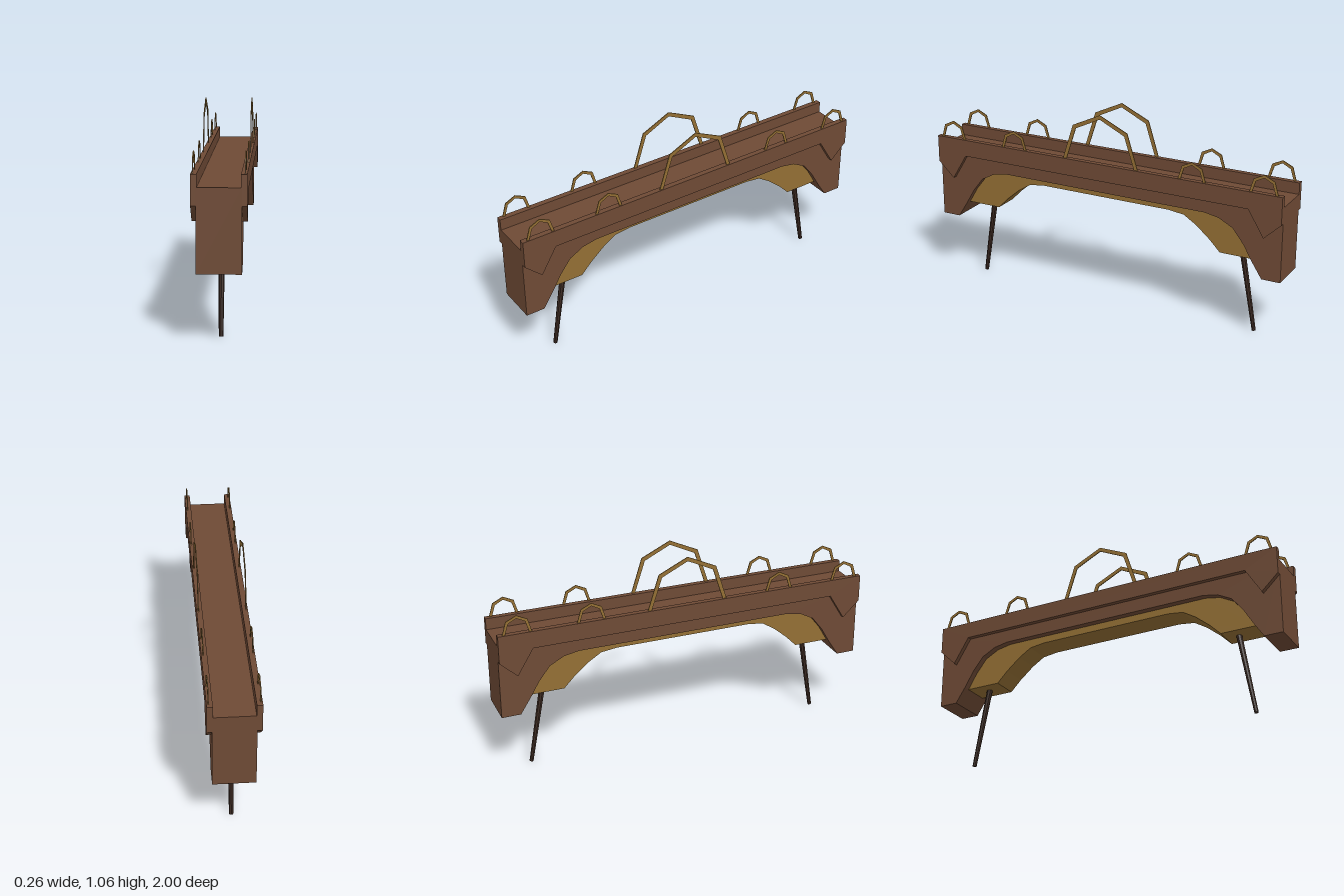
import * as THREE from 'three';

const material = (name, color) => new THREE.MeshStandardMaterial({ name, color, flatShading: true });

// Completes a half profile of [z, y] points by mirroring it across z = 0
const mirrored = (half) => [...half, ...half.map(([z, y]) => [-z, y]).reverse()];

// Extrudes a [z, y] side profile across the bridge, centred on the given x
function slab(name, points, width, x, mat) {
  const shape = new THREE.Shape(points.map(([z, y]) => new THREE.Vector2(z, y)));
  const geometry = new THREE.ExtrudeGeometry(shape, { depth: width, bevelEnabled: false });
  geometry.translate(0, 0, -width / 2);
  geometry.rotateY(-Math.PI / 2);
  const mesh = new THREE.Mesh(geometry, mat);
  mesh.name = name;
  mesh.position.x = x;
  return mesh;
}

export function createModel() {
  const wood = material('brownWood', 0x6e4a35);
  const gold = material('goldenWood', 0x936f34);
  const dark = material('darkWood', 0x3c2a22);
  const model = new THREE.Group();
  model.name = 'archedBridge';

  // Underside curve shared by the deck body and the golden arch
  const arch = [[0.847, 0.428], [0.797, 0.513], [0.738, 0.588], [0.663, 0.628], [0.583, 0.643]];

  // Deck body with end piers
  model.add(slab('deckBody', mirrored([[1, 0.745], [1, 0.346], [0.9, 0.346], ...arch]), 0.21, 0, wood));

  // Golden arch under the deck
  const soffit = [[0.37, 0.605], [0.455, 0.594], [0.524, 0.551], [0.6, 0.487], [0.658, 0.428]];
  const archHalf = [...soffit, ...arch];
  const archPoints = [...archHalf, ...archHalf.map(([z, y]) => [-z, y]).reverse()];
  model.add(slab('supportArch', archPoints, 0.14, 0, gold));

  // Side walls with pointed lower corners
  const wall = mirrored([[1, 0.805], [1, 0.66], [0.91, 0.575], [0.825, 0.714]]);
  // Railing hoops: outer outline up one side, inner outline back
  const hoop = (z, outer, inner) => [...mirrored(outer), ...mirrored(inner).reverse()].map(([u, y]) => [u + z, y]);
  const smallOuter = [[0.076, 0.803], [0.055, 0.874], [0, 0.9]];
  const smallInner = [[0.062, 0.803], [0.043, 0.863], [0, 0.885]];
  const largeOuter = [[0.217, 0.803], [0.157, 0.992], [0, 1.065]];
  const largeInner = [[0.197, 0.803], [0.14, 0.976], [0, 1.043]];
  // Keeps the apex from being duplicated by the mirroring
  const ridge = (points) => points.map(([z, y]) => [z || 0.001, y]);

  for (const side of [1, -1]) {
    const label = side > 0 ? 'left' : 'right';
    model.add(slab(label + 'Wall', wall, 0.029, side * 0.1145, wood));
    for (const z of [0.9, 0.517, -0.517, -0.9]) {
      model.add(slab(label + 'SmallHoop', hoop(z, ridge(smallOuter), ridge(smallInner)), 0.005, side * 0.12, gold));
    }
    model.add(slab(label + 'LargeHoop', hoop(0, ridge(largeOuter), ridge(largeInner)), 0.005, side * 0.12, gold));
  }

  // Slanted tapering posts under each end of the arch
  const up = new THREE.Vector3(0, 1, 0);
  for (const [name, zFoot, zTop] of [['frontPost', 0.8, 0.725], ['backPost', -0.832, -0.75]]) {
    const foot = new THREE.Vector3(0, 0.002, zFoot);
    const top = new THREE.Vector3(0, 0.45, zTop);
    const post = new THREE.Mesh(new THREE.CylinderGeometry(0.016, 0.011, foot.distanceTo(top), 8), dark);
    post.name = name;
    post.position.copy(foot).add(top).multiplyScalar(0.5);
    post.quaternion.setFromUnitVectors(up, top.clone().sub(foot).normalize());
    model.add(post);
  }
  return model;
}
